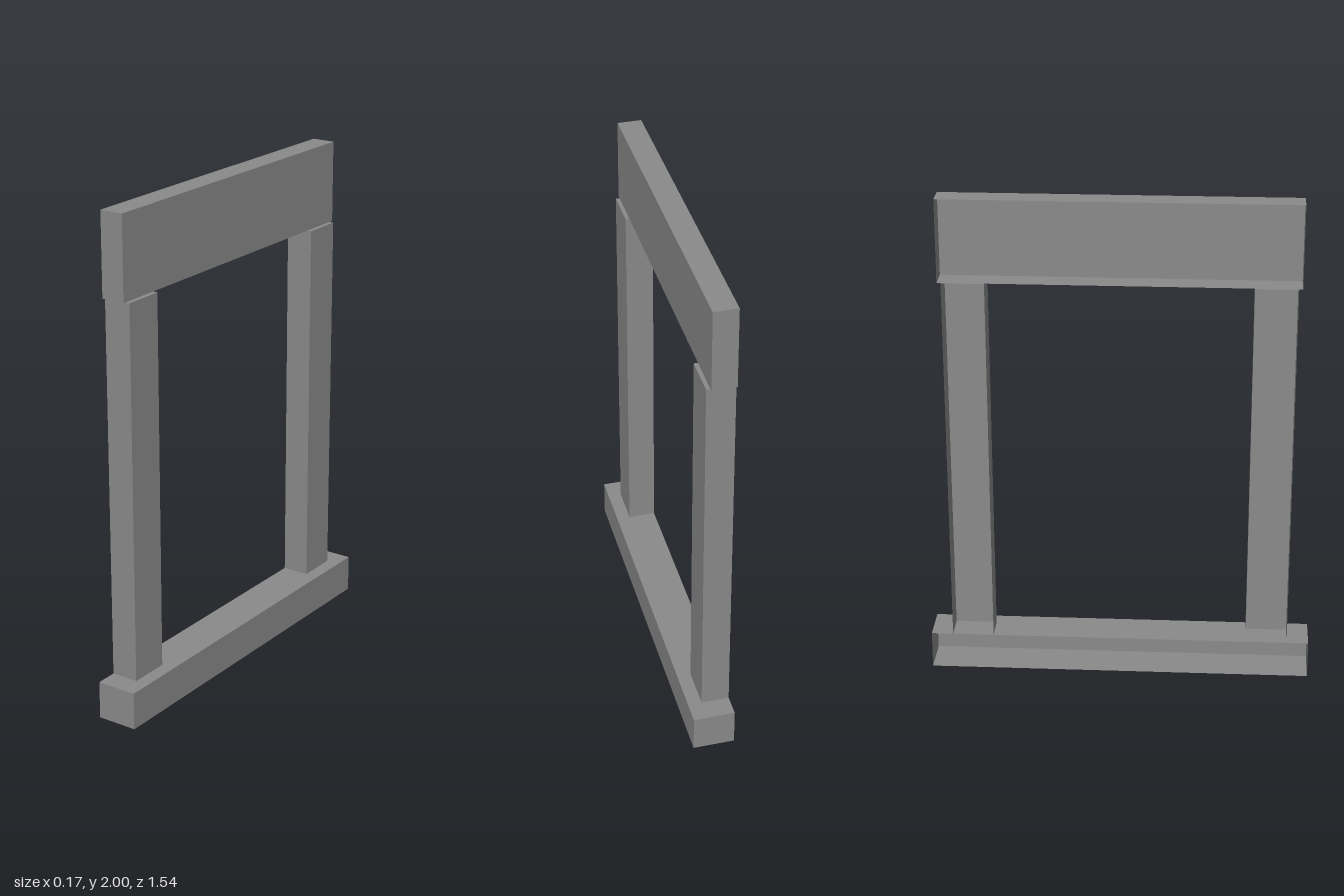
import * as THREE from 'three';

const stone = new THREE.MeshStandardMaterial({ color: 0x8a8a8a, side: THREE.DoubleSide });
stone.name = 'grey stone';

const BACK = -0.083; // wall plane shared by all parts

// Box shell from the wall plane to xFront, left open on its wall (-x) side
function openBox(name, xFront, y0, y1, z0, z1) {
  const geometry = new THREE.BoxGeometry(xFront - BACK, y1 - y0, z1 - z0);
  const index = Array.from(geometry.index.array);
  index.splice(6, 6); // drop the -x face
  geometry.setIndex(index);
  geometry.clearGroups();
  const mesh = new THREE.Mesh(geometry, stone);
  mesh.name = name;
  mesh.position.set((BACK + xFront) / 2, (y0 + y1) / 2, (z0 + z1) / 2);
  return mesh;
}

export function createModel() {
  const group = new THREE.Group();
  group.name = 'windowSurround';

  // Projecting sill and head beam
  group.add(openBox('sill', 0.083, 0, 0.152, -0.77, 0.77));
  group.add(openBox('lintel', 0.013, 1.67, 2, -0.697, 0.697));

  // Upright on each side of the opening
  group.add(openBox('frontJamb', 0.028, 0.152, 1.668, 0.515, 0.682));
  group.add(openBox('backJamb', 0.028, 0.152, 1.668, -0.682, -0.515));

  return group;
}
